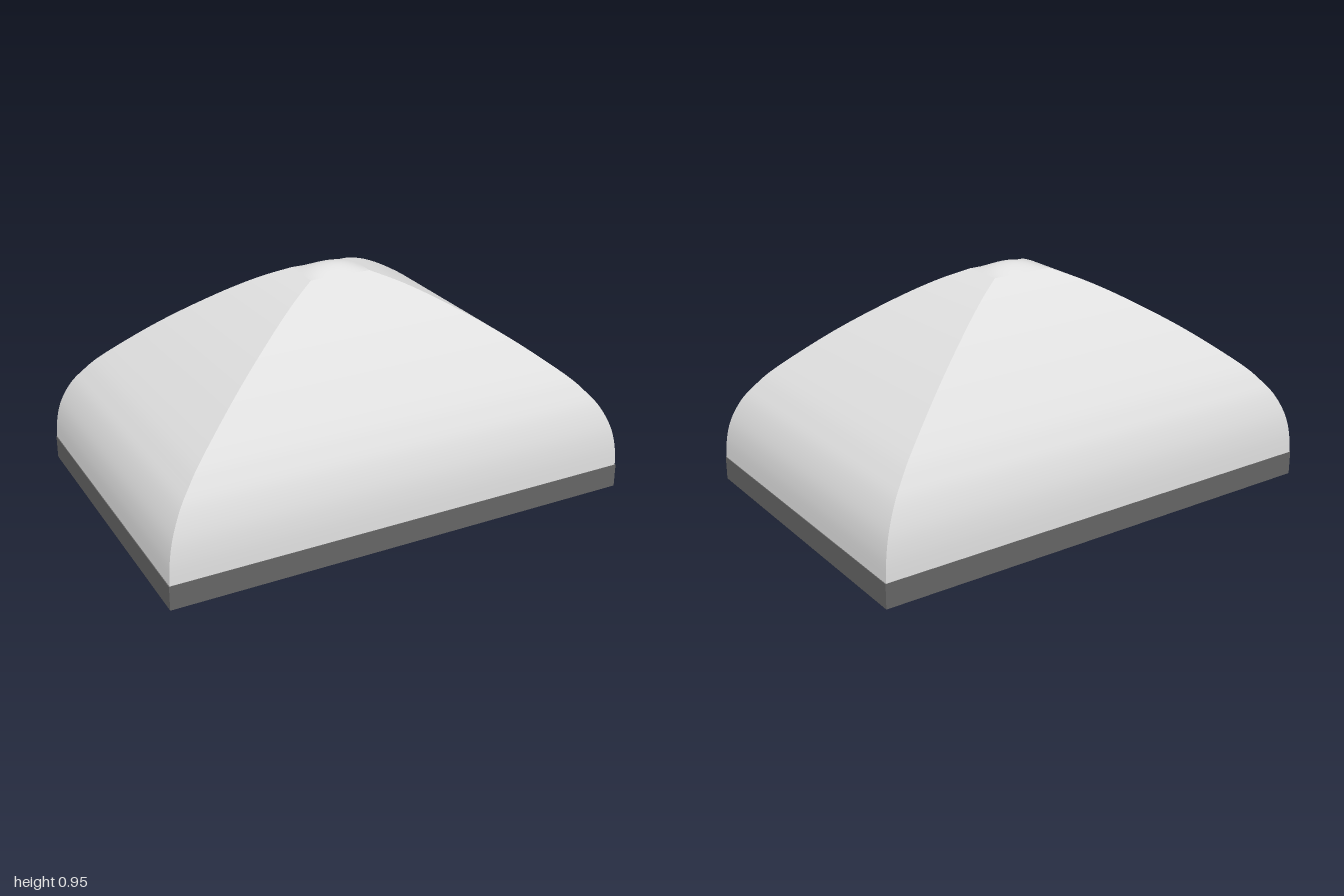
import * as THREE from 'three';

const HALF_X = 1, HALF_Z = 0.672, FRAME_H = 0.1;

export function createModel() {
  const model = new THREE.Group();
  model.name = 'domedRoofLight';
  const glazing = new THREE.MeshStandardMaterial({ name: 'pale grey glazing', color: 0xe0e0e0, side: THREE.DoubleSide });
  const metal = new THREE.MeshStandardMaterial({ name: 'dark grey frame', color: 0x666666 });

  const add = (parent, name, geometry, material, x = 0, y = 0, z = 0) => {
    const mesh = new THREE.Mesh(geometry, material);
    mesh.name = name;
    mesh.position.set(x, y, z);
    parent.add(mesh);
    return mesh;
  };

  // Dome profile: scale of the rectangular ring against height
  const profile = new THREE.SplineCurve([
    [0.997, 0.1], [0.99, 0.19], [0.97, 0.275], [0.93, 0.36], [0.88, 0.425], [0.8, 0.505],
    [0.6, 0.66], [0.4, 0.79], [0.25, 0.873], [0.132, 0.923],
  ].map(([s, y]) => new THREE.Vector2(s, y))).getPoints(45);

  // Four curved panels meeting at sharp mitred corners
  const dome = new THREE.Group();
  dome.name = 'dome';
  model.add(dome);
  const corners = [[-1, 1], [1, 1], [1, -1], [-1, -1]];
  ['frontPanel', 'rightPanel', 'backPanel', 'leftPanel'].forEach((name, k) => {
    const positions = [], index = [];
    profile.forEach((p, i) => {
      for (const [sx, sz] of [corners[k], corners[(k + 1) % 4]]) {
        positions.push(sx * HALF_X * p.x, p.y, sz * HALF_Z * p.x);
      }
      if (i < profile.length - 1) {
        const a = i * 2;
        index.push(a, a + 1, a + 3, a, a + 3, a + 2);
      }
    });
    const geometry = new THREE.BufferGeometry();
    geometry.setAttribute('position', new THREE.Float32BufferAttribute(positions, 3));
    geometry.setIndex(index);
    geometry.computeVertexNormals();
    // +x is the model's left
    add(dome, name === 'rightPanel' ? 'leftPanel' : name === 'leftPanel' ? 'rightPanel' : name, geometry, glazing);
  });

  // Softly rounded cap closing the top
  const top = profile[profile.length - 1];
  const capX = HALF_X * top.x, capZ = HALF_Z * top.x;
  const cap = new THREE.PlaneGeometry(capX * 2, capZ * 2, 14, 14).rotateX(-Math.PI / 2);
  const pos = cap.attributes.position;
  for (let i = 0; i < pos.count; i++) {
    const u = pos.getX(i) / capX, v = pos.getZ(i) / capZ;
    pos.setY(i, top.y + 0.029 * (1 - u * u) * (1 - v * v));
  }
  cap.computeVertexNormals();
  add(dome, 'domeCap', cap, glazing);

  // Base frame: thin outer skirt hanging around an inset curb
  const frame = new THREE.Group();
  frame.name = 'baseFrame';
  model.add(frame);
  const wall = 0.006, inset = 0.078;
  for (const s of [-1, 1]) {
    add(frame, 'longSkirt', new THREE.BoxGeometry(HALF_X * 2, FRAME_H, wall), metal,
      0, FRAME_H / 2, s * (HALF_Z - wall / 2));
    add(frame, 'shortSkirt', new THREE.BoxGeometry(wall, FRAME_H, (HALF_Z - wall) * 2), metal,
      s * (HALF_X - wall / 2), FRAME_H / 2, 0);
  }
  add(frame, 'topPlate', new THREE.BoxGeometry((HALF_X - wall) * 2, wall, (HALF_Z - wall) * 2), metal,
    0, FRAME_H - wall / 2, 0);
  add(frame, 'curb', new THREE.BoxGeometry((HALF_X - inset) * 2, FRAME_H - wall, (HALF_Z - inset) * 2), metal,
    0, (FRAME_H - wall) / 2, 0);

  return model;
}
